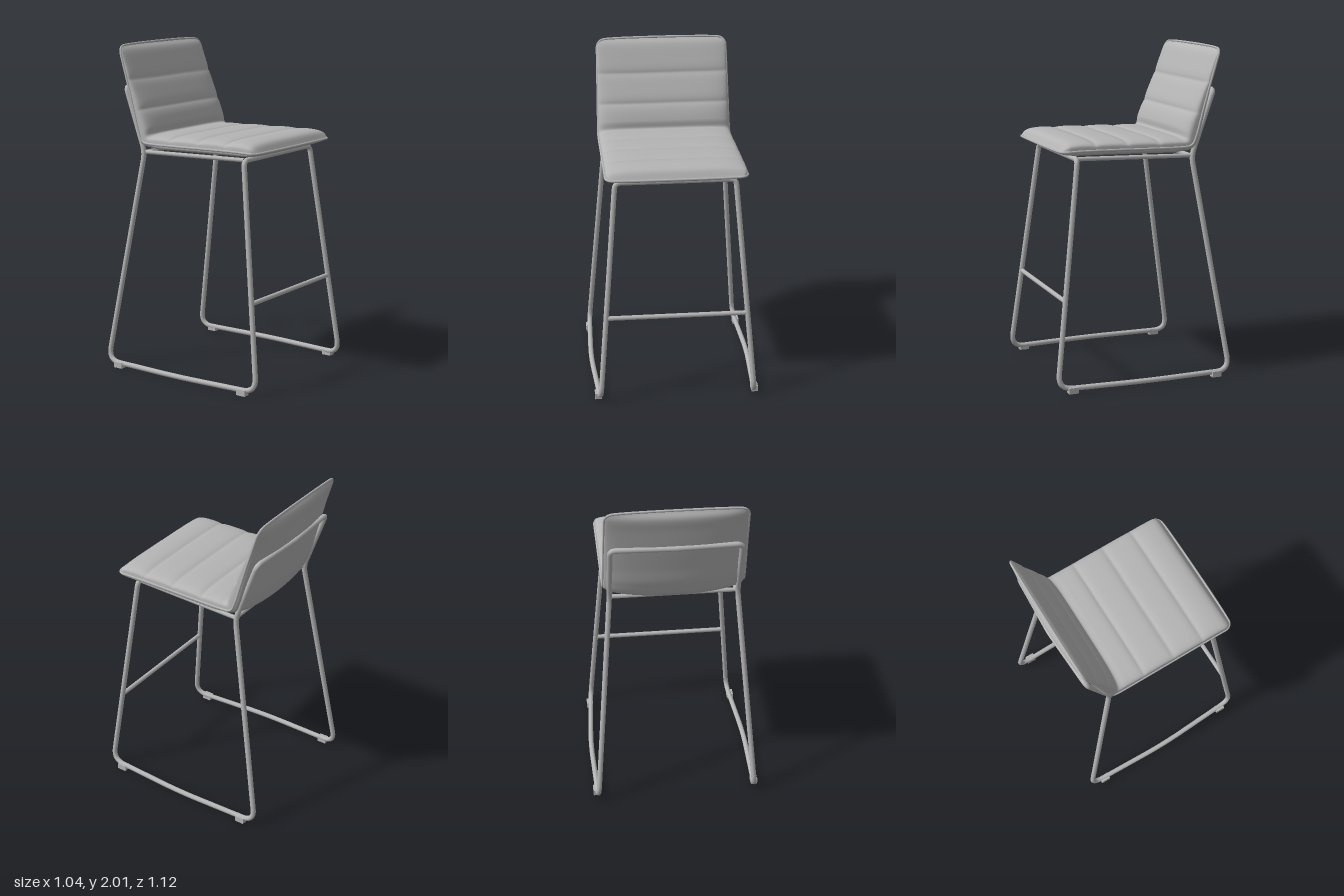
import * as THREE from 'three';

const V = (x, y, z) => new THREE.Vector3(x, y, z);
const grey = new THREE.MeshStandardMaterial({ color: 0xb4b4b4 });
grey.name = 'warm grey';

function add(group, geometry, name) {
  const mesh = new THREE.Mesh(geometry, grey);
  mesh.name = name;
  group.add(mesh);
  return mesh;
}

// Polyline with rounded bends; each point is [x, y, z, bend radius]
function roundedPath(pts) {
  const path = new THREE.CurvePath();
  let from = V(...pts[0].slice(0, 3));
  for (let i = 1; i < pts.length; i++) {
    const p = V(...pts[i].slice(0, 3));
    const r = pts[i][3] || 0;
    if (r && i < pts.length - 1) {
      const next = V(...pts[i + 1].slice(0, 3));
      const a = p.clone().add(from.clone().sub(p).setLength(r));
      const b = p.clone().add(next.sub(p).setLength(r));
      path.add(new THREE.LineCurve3(from, a));
      path.add(new THREE.QuadraticBezierCurve3(a, p, b));
      from = b;
    } else {
      path.add(new THREE.LineCurve3(from, p));
      from = p;
    }
  }
  return path;
}

// Straight round bar between two points
function bar(group, a, b, radius, name) {
  add(group, new THREE.TubeGeometry(new THREE.LineCurve3(a, b), 1, radius, 12), name);
}

// Side profile stations, front lip to top edge: [z, y] of edge line, cushion face, shell face
const STATIONS = [
  [[0.497, 1.425], [0.497, 1.425], [0.497, 1.425]],
  [[0.465, 1.426], [0.46, 1.474], [0.47, 1.402]],
  [[0.4, 1.428], [0.39, 1.489], [0.4, 1.391]],
  [[0.28, 1.428], [0.28, 1.489], [0.28, 1.388]],
  [[0.14, 1.426], [0.14, 1.487], [0.14, 1.385]],
  [[0, 1.423], [0, 1.484], [0, 1.382]],
  [[-0.13, 1.421], [-0.12, 1.481], [-0.14, 1.378]],
  [[-0.24, 1.42], [-0.215, 1.478], [-0.27, 1.373]],
  [[-0.32, 1.43], [-0.272, 1.478], [-0.38, 1.38]],
  [[-0.353, 1.49], [-0.28, 1.53], [-0.43, 1.48]],
  [[-0.385, 1.6], [-0.315, 1.62], [-0.457, 1.6]],
  [[-0.425, 1.74], [-0.375, 1.74], [-0.488, 1.74]],
  [[-0.465, 1.87], [-0.433, 1.87], [-0.511, 1.87]],
  [[-0.493, 1.96], [-0.475, 1.965], [-0.525, 1.955]],
  [[-0.507, 2], [-0.507, 2], [-0.507, 2]],
];
const [edgeLine, cushionLine, shellLine] = [0, 1, 2].map(k =>
  new THREE.CatmullRomCurve3(STATIONS.map(s => V(0, s[k][1], s[k][0])), false, 'catmullrom', 0.5));
const ROWS = (STATIONS.length - 1) * 16;

// Half width, with rounded corners at both ends
function halfWidth(p) {
  const r = 0.05;
  const d = Math.min(r, Math.max(0, Math.min(0.497 - p.z, 2 - p.y)));
  return 0.416 - 0.01 * Math.max(0, p.y - 1.45) / 0.55 - r + Math.sqrt(r * r - (r - d) ** 2);
}

// Depth of the stitched channels at a point on the cushion face
function seamDepth(p) {
  const onBack = p.y > 1.53;
  const seams = onBack ? [1.63, 1.8] : [0.29, 0.09, -0.11];
  const at = onBack ? p.y : p.z;
  return seams.reduce((sum, s) => sum + 0.013 * Math.exp(-Math.abs(at - s) / 0.022), 0);
}

// Padded seat and back as one skin of cross-sections
function upholsteryGeometry() {
  const N = 56, pos = [], idx = [];
  for (let i = 0; i <= ROWS; i++) {
    const t = i / ROWS;
    const m = edgeLine.getPoint(t), top = cushionLine.getPoint(t), under = shellLine.getPoint(t);
    const up = top.clone().sub(m), down = under.sub(m);
    const len = up.length();
    if (len > 0.02) up.setLength(len - seamDepth(top));
    const w = halfWidth(m);
    const shellPower = m.y > 1.45 ? 2 : 2 + 2 * THREE.MathUtils.smoothstep(m.z, -0.33, -0.15);
    for (let j = 0; j < N; j++) {
      const a = (j / N) * Math.PI * 2, c = Math.cos(a), s = Math.sin(a);
      const e = 2 / (j <= N / 2 ? 4.5 : shellPower);
      const p = m.clone().addScaledVector(s >= 0 ? up : down, Math.abs(s) ** e);
      pos.push(Math.sign(c) * Math.abs(c) ** e * w, p.y, p.z);
      if (i < ROWS) {
        const q = i * N + j, n = i * N + (j + 1) % N;
        idx.push(q, q + N, n, n, q + N, n + N);
      }
    }
  }
  const g = new THREE.BufferGeometry();
  g.setAttribute('position', new THREE.Float32BufferAttribute(pos, 3));
  g.setIndex(idx);
  g.computeVertexNormals();
  return g;
}

// Thin piping around the rim of the upholstery
function pipingGeometry() {
  const side = [];
  for (let i = 0; i <= 84; i++) {
    const p = edgeLine.getPoint(i / 84);
    side.push(V(halfWidth(p), p.y, p.z));
  }
  const other = side.map(p => V(-p.x, p.y, p.z)).reverse();
  return new THREE.TubeGeometry(new THREE.CatmullRomCurve3([...side, ...other], true), 400, 0.007, 8, true);
}

export function createModel() {
  const chair = new THREE.Group();
  chair.name = 'barStool';

  add(chair, upholsteryGeometry(), 'upholstery');
  add(chair, pipingGeometry(), 'piping');

  // Continuous bent tube: front rail, front leg, runner, rear leg, back loop, then mirrored
  const left = [
    [0, 1.373, 0.385],
    [0.358, 1.373, 0.385, 0.035],
    [0.473, 0.028, 0.555, 0.09],
    [0.507, 0.028, 0, 0.15],
    [0.492, 0.028, -0.555, 0.09],
    [0.38, 1.36, -0.335, 0.05],
    [0.378, 1.752, -0.476, 0.035],
    [0, 1.755, -0.495],
  ];
  const right = left.slice(0, -1).reverse().map(([x, y, z, r]) => [-x, y, z, r]);
  add(chair, new THREE.TubeGeometry(roundedPath([...left, ...right]), 640, 0.016, 12, true), 'frame');

  // Rails under the seat and the footrest
  bar(chair, V(-0.378, 1.362, -0.33), V(0.378, 1.362, -0.33), 0.013, 'rearRail');
  bar(chair, V(-0.428, 0.545, 0.489), V(0.428, 0.545, 0.489), 0.014, 'footrest');
  for (const s of [-1, 1]) {
    bar(chair, V(s * 0.35, 1.375, 0.38), V(s * 0.372, 1.362, -0.33), 0.013, 'sideRail');
    // Floor glides clipped on the runners
    for (const z of [0.465, -0.46]) {
      const glide = add(chair, new THREE.BoxGeometry(0.04, 0.036, 0.06), 'glide');
      glide.position.set(s * (z > 0 ? 0.485 : 0.5), 0.018, z);
    }
  }
  return chair;
}
